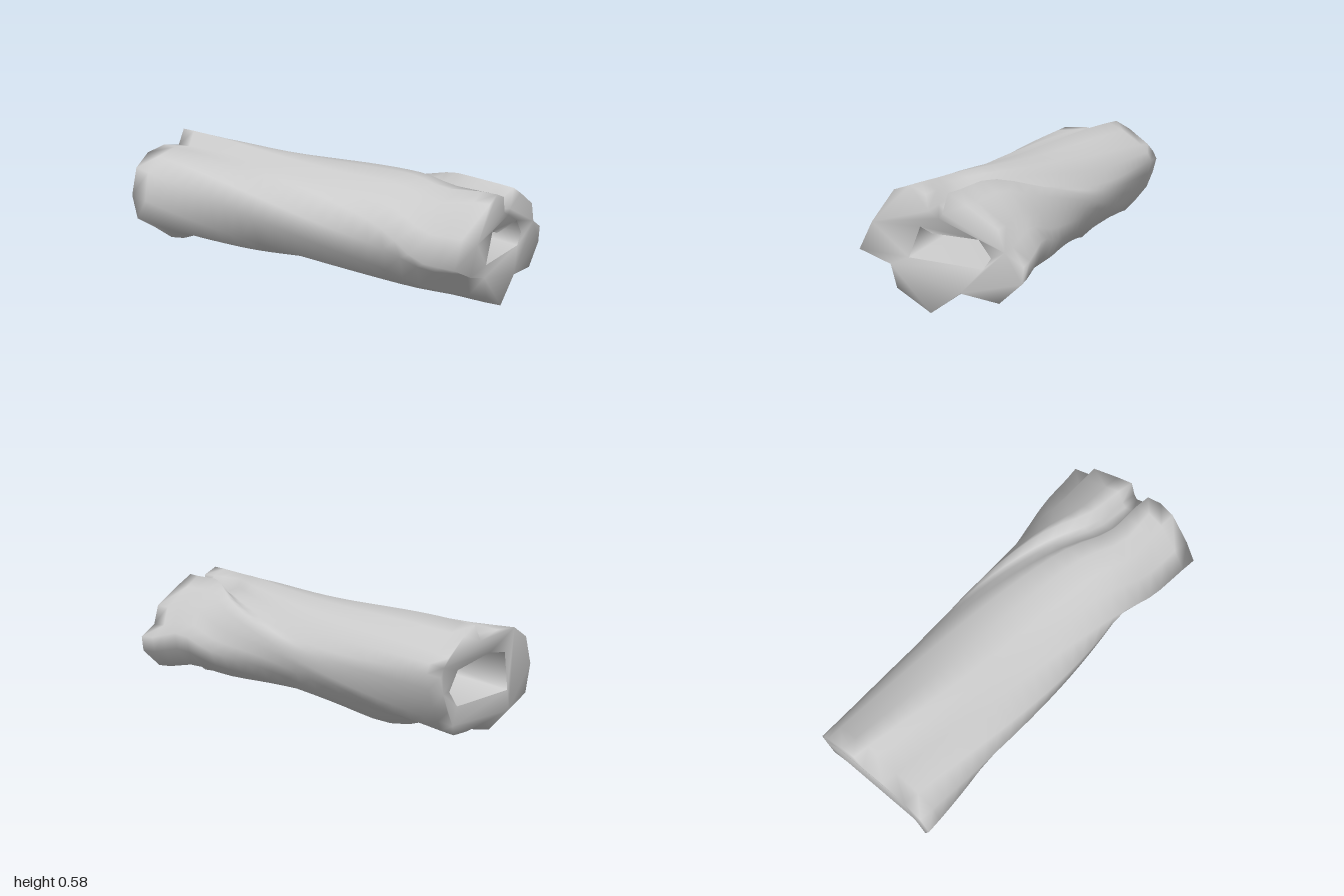
import * as THREE from 'three';
import { mergeGeometries, mergeVertices } from 'three/addons/utils/BufferGeometryUtils.js';

// Bark outlines as z, y pairs; equal positions follow the same twisting ridge or groove
const barkRight = [-.365,.37, -.345,.41, -.31,.45, -.20,.53, -.12,.57, -.07,.49, .06,.52, .20,.51, .30,.45,
  .345,.31, .31,.17, .21,.10, .11,.015, .02,.07, -.10,.055, -.20,.06, -.25,.12, -.31,.20, -.345,.29];
const barkMiddle = [-.30,.41, -.25,.475, -.18,.525, -.06,.55, .06,.545, .12,.495, .24,.48, .335,.38, .34,.27,
  .22,.11, .08,.06, -.13,.08, -.24,.12, -.31,.19, -.335,.25, -.345,.30, -.345,.335, -.34,.365, -.325,.39];
const barkLeft = [0,.445, .05,.475, .06,.55, .14,.585, .22,.56, .34,.40, .41,.265, .25,.21, .22,.10,
  .05,0, -.10,.11, -.29,.085, -.40,.185, -.41,.265, -.32,.32, -.29,.42, -.14,.515, -.05,.565, -.02,.47];

// Hollow core outlines, wound the same way
const coreRight = [.17,.39, .20,.20, -.20,.20, -.26,.28, -.20,.37, .05,.41];
const coreMiddle = [.15,.41, .16,.29, -.20,.33, -.25,.345, -.20,.41, .05,.43];
const coreLeft = [.11,.39, .17,.24, -.20,.225, -.24,.28, -.18,.36, .05,.365];

const bell = t => Math.exp(-t * t);
const barkAxis = 0.29;

// Rings from right (-x) to left (+x), turning the outlines about a lengthwise axis
function ringsOf(outlines, halfLength, axisY, steps) {
  const rings = Array.from({ length: steps + 1 }, () => []);
  for (let j = 0; j < outlines[0].length; j += 2) {
    let last = null;
    const polar = outlines.map((p, k) => {
      const z = p[j], y = p[j + 1] - axisY;
      let angle = Math.atan2(y, z);
      if (last !== null) angle -= 2 * Math.PI * Math.round((angle - last) / (2 * Math.PI));
      last = angle;
      return new THREE.Vector3((k - 1) * halfLength, angle, Math.hypot(z, y));
    });
    const curve = new THREE.CatmullRomCurve3(polar, false, 'catmullrom');
    for (let i = 0; i <= steps; i++) {
      const { x, y: angle, z: radius } = curve.getPoint(i / steps);
      rings[i].push(new THREE.Vector3(x, axisY + radius * Math.sin(angle), radius * Math.cos(angle)));
    }
  }
  return rings;
}

// Uneven twist, swellings under the log and a worn lower edge at the right end
function weather(v) {
  const angle = Math.atan2(v.y - barkAxis, v.z) - 0.18 * bell((v.x - 0.72) / 0.16);
  const under = bell((angle + 1.6) / 0.5);
  const radius = Math.hypot(v.y - barkAxis, v.z)
    + under * (0.03 * bell((v.x + 0.4) / 0.17) - 0.05 * bell((v.x + 0.74) / 0.13));
  v.y = barkAxis + radius * Math.sin(angle);
  v.z = radius * Math.cos(angle);
  if (v.x < -0.8) v.x += 2.5 * (-0.8 - v.x) * Math.max(0, 0.15 - v.y);
}

function loft(rings, inward = false) {
  const n = rings[0].length, index = [];
  for (let i = 0; i < rings.length - 1; i++) {
    for (let j = 0; j < n; j++) {
      const a = i * n + j, b = i * n + (j + 1) % n, c = a + n, d = b + n;
      if (inward) index.push(a, c, b, b, c, d);
      else index.push(a, b, c, b, d, c);
    }
  }
  const geometry = new THREE.BufferGeometry().setFromPoints(rings.flat());
  geometry.setIndex(index);
  geometry.computeVertexNormals();
  return geometry;
}

// End face dished from the bark edge down to the hole; side is +1 or -1
function endFace(outer, hole, side) {
  const flat = ring => ring.map(v => new THREE.Vector2(-side * v.z, v.y));
  const shape = new THREE.Shape(flat(outer));
  shape.holes.push(new THREE.Path(flat(hole)));
  const geometry = new THREE.ShapeGeometry(shape);
  geometry.rotateY(side * Math.PI / 2);
  const pos = geometry.attributes.position;
  for (let i = 0; i < pos.count; i++) pos.setX(i, i < outer.length ? outer[i].x : hole[0].x);
  return geometry;
}

// Weld parts into one surface with soft edges
function weld(parts) {
  for (const part of parts) {
    part.deleteAttribute('normal');
    part.deleteAttribute('uv');
  }
  const geometry = mergeVertices(mergeGeometries(parts));
  geometry.computeVertexNormals();
  return geometry;
}

export function createModel() {
  const log = new THREE.Group();
  log.name = 'hollowLog';
  const wood = new THREE.MeshStandardMaterial({ color: 0xcccccc });
  wood.name = 'pale grey wood';

  const bark = ringsOf([barkRight, barkMiddle, barkLeft], 1, barkAxis, 24);
  bark.flat().forEach(weather);
  const core = ringsOf([coreRight, coreMiddle, coreLeft], 0.97, 0.35, 2);
  const add = (name, geometry) => {
    const mesh = new THREE.Mesh(geometry, wood);
    mesh.name = name;
    log.add(mesh);
  };
  add('barkAndEnds', weld([loft(bark), endFace(bark[24], core[2], 1), endFace(bark[0], core[0], -1)]));
  add('hollowCore', loft(core, true));
  return log;
}
